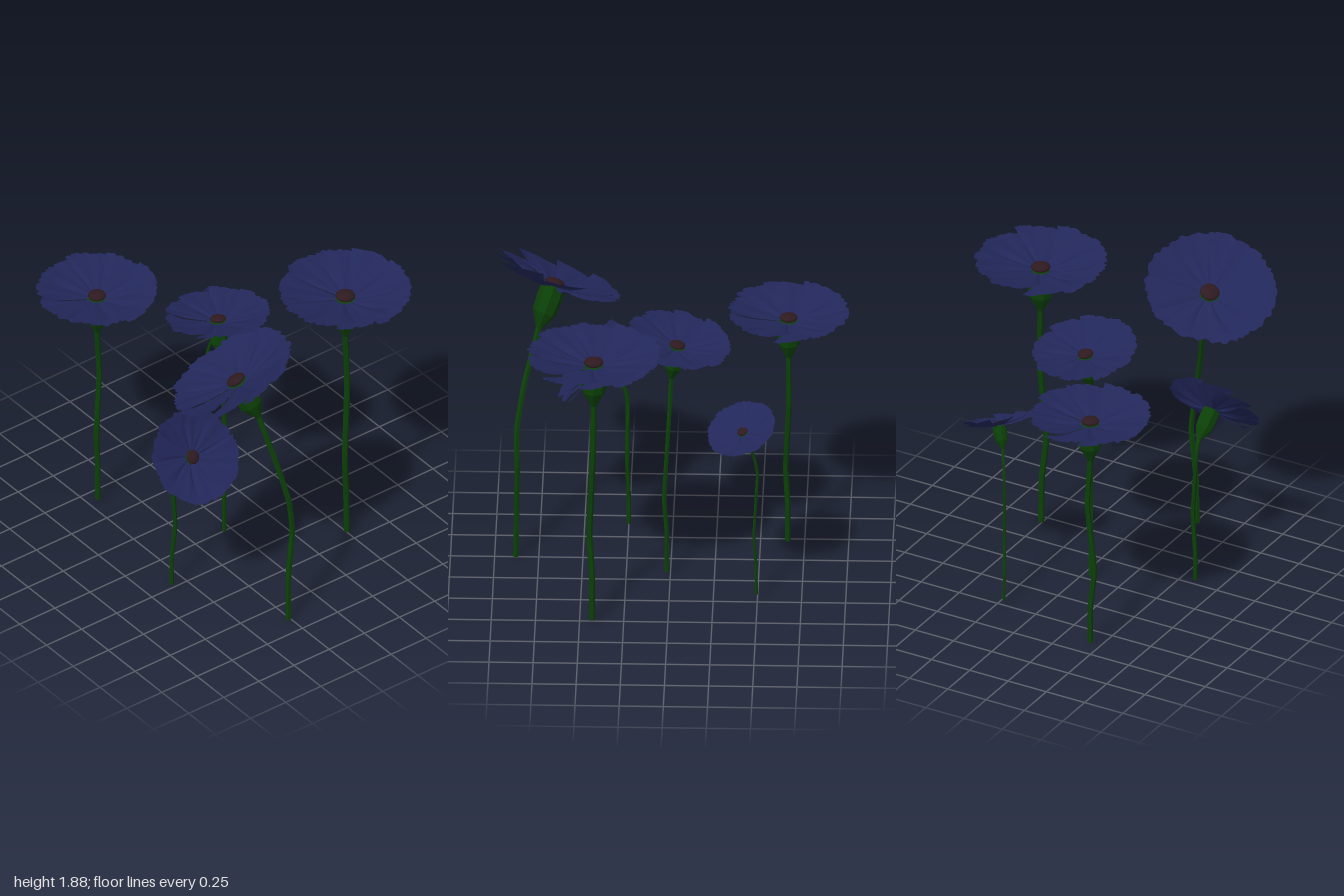
import * as THREE from 'three';

const petalMat = new THREE.MeshStandardMaterial({ color: 0x22275a, side: THREE.DoubleSide });
const greenMat = new THREE.MeshStandardMaterial({ color: 0x0c4008, side: THREE.DoubleSide, flatShading: true });
const centreMat = new THREE.MeshStandardMaterial({ color: 0x2e1a20 });

// Each flower: radius, head origin, facing direction, lower stem points
const FLOWERS = [
  { r: 0.38, at: [-0.46, 1.635, 0.67], n: [-0.33, 0.88, -0.33],
    stem: [[-0.26, 0, 0.88], [-0.255, 0.3, 0.875], [-0.225, 0.6, 0.872], [-0.25, 0.82, 0.875], [-0.305, 1.08, 0.835]] },
  { r: 0.38, at: [0.497, 1.645, 0.42], n: [0, 1, 0],
    stem: [[0.5, 0.01, 0.43], [0.495, 0.3, 0.43], [0.475, 0.55, 0.445], [0.507, 1.05, 0.425]] },
  { r: 0.303, at: [-0.06, 1.465, -0.037], n: [0.05, 0.985, -0.16],
    stem: [[-0.06, 0.02, 0.02], [-0.06, 0.3, 0.022], [-0.053, 0.5, 0.035], [-0.062, 1.0, 0.008]] },
  { r: 0.346, at: [-0.448, 1.435, -0.66], n: [0, 1, 0],
    stem: [[-0.445, 0.02, -0.655], [-0.445, 0.25, -0.655], [-0.465, 0.48, -0.643], [-0.43, 0.9, -0.662]] },
  { r: 0.204, at: [0.286, 1.108, -0.42], n: [0.34, 0.9, 0.28],
    stem: [[0.21, 0.03, -0.495], [0.21, 0.25, -0.49], [0.215, 0.42, -0.48], [0.206, 0.8, -0.5], [0.222, 0.92, -0.48]] },
  { r: 0.278, at: [-0.61, 1.035, 0.435], n: [0, 0.61, 0.79],
    stem: [[-0.61, 0.03, 0.25], [-0.61, 0.2, 0.25], [-0.59, 0.45, 0.258], [-0.612, 0.8, 0.255], [-0.612, 0.88, 0.266]] },
];

function seeded(seed) {
  let s = seed;
  return () => (s = (s * 16807) % 2147483647) / 2147483647;
}

// One fan-shaped petal of unit length, pitched sideways, with a notched rim
function petalGeometry(rand) {
  const nu = 20, nv = 8;
  const geo = new THREE.PlaneGeometry(1, 1, nu, nv);
  const pos = geo.attributes.position;
  const teeth = Array.from({ length: nu + 1 }, () => rand() ** 2 * 0.06);
  const lift = 0.18 + (rand() - 0.5) * 0.05;
  const phase = rand() * 6;
  for (let i = 0; i < pos.count; i++) {
    const s = pos.getX(i) * 2, t = 0.5 + pos.getY(i);
    const rim = 1 - 0.05 * s ** 4 - teeth[i % (nu + 1)] * t ** 6;
    const rad = 0.08 + (rim - 0.08) * t;
    const ang = s * 0.52 * (0.6 + 0.4 * Math.sqrt(t));
    const ruffle = 0.006 * Math.cos(7 * s + phase) * Math.sin(Math.PI * t * 0.8);
    const y = t * lift + 0.07 * s * t - 0.045 * s ** 4 * Math.sin(Math.PI * t) + ruffle;
    pos.setXYZ(i, rad * Math.sin(ang), y, rad * Math.cos(ang));
  }
  geo.computeVertexNormals();
  return geo;
}

function makeHead(rand) {
  const head = new THREE.Group();
  head.name = 'flowerHead';
  const count = 9, spin = rand() * 6;
  for (let i = 0; i < count; i++) {
    const petal = new THREE.Mesh(petalGeometry(rand), petalMat);
    petal.name = 'petal';
    petal.rotation.y = spin + (i / count) * Math.PI * 2 + (rand() - 0.5) * 0.1;
    head.add(petal);
  }
  const centre = new THREE.Mesh(new THREE.SphereGeometry(0.15, 12, 8), centreMat);
  centre.name = 'flowerCentre';
  centre.scale.y = 0.4;
  centre.position.y = 0.06;
  head.add(centre);

  // Faceted cup below the petals
  const profile = [[0.045, -0.68], [0.085, -0.6], [0.18, -0.42], [0.195, -0.2], [0.185, 0], [0.12, 0.02]]
    .map(([x, y]) => new THREE.Vector2(x, y));
  const cup = new THREE.Mesh(new THREE.LatheGeometry(profile, 8), greenMat);
  cup.name = 'calyx';
  head.add(cup);
  return head;
}

function makeFlower({ r, at, n, stem }, index) {
  const rand = seeded(1237 + index * 7919);
  const flower = new THREE.Group();
  flower.name = 'flower';
  const normal = new THREE.Vector3(...n).normalize();
  const origin = new THREE.Vector3(...at);

  const head = makeHead(rand);
  head.scale.setScalar(r);
  head.position.copy(origin);
  head.quaternion.setFromUnitVectors(new THREE.Vector3(0, 1, 0), normal);

  // Bent stem running up into the cup
  const points = stem.map((p) => new THREE.Vector3(...p));
  points.push(origin.clone().addScaledVector(normal, -0.66 * r));
  points.push(origin.clone().addScaledVector(normal, -0.52 * r));
  const curve = new THREE.CatmullRomCurve3(points, false, 'catmullrom', 0.15);
  const tube = new THREE.Mesh(new THREE.TubeGeometry(curve, 28, 0.046 * r, 6), greenMat);
  tube.name = 'stem';

  flower.add(head, tube);
  return flower;
}

export function createModel() {
  const group = new THREE.Group();
  group.name = 'flowers';
  FLOWERS.forEach((f, i) => group.add(makeFlower(f, i)));
  return group;
}
